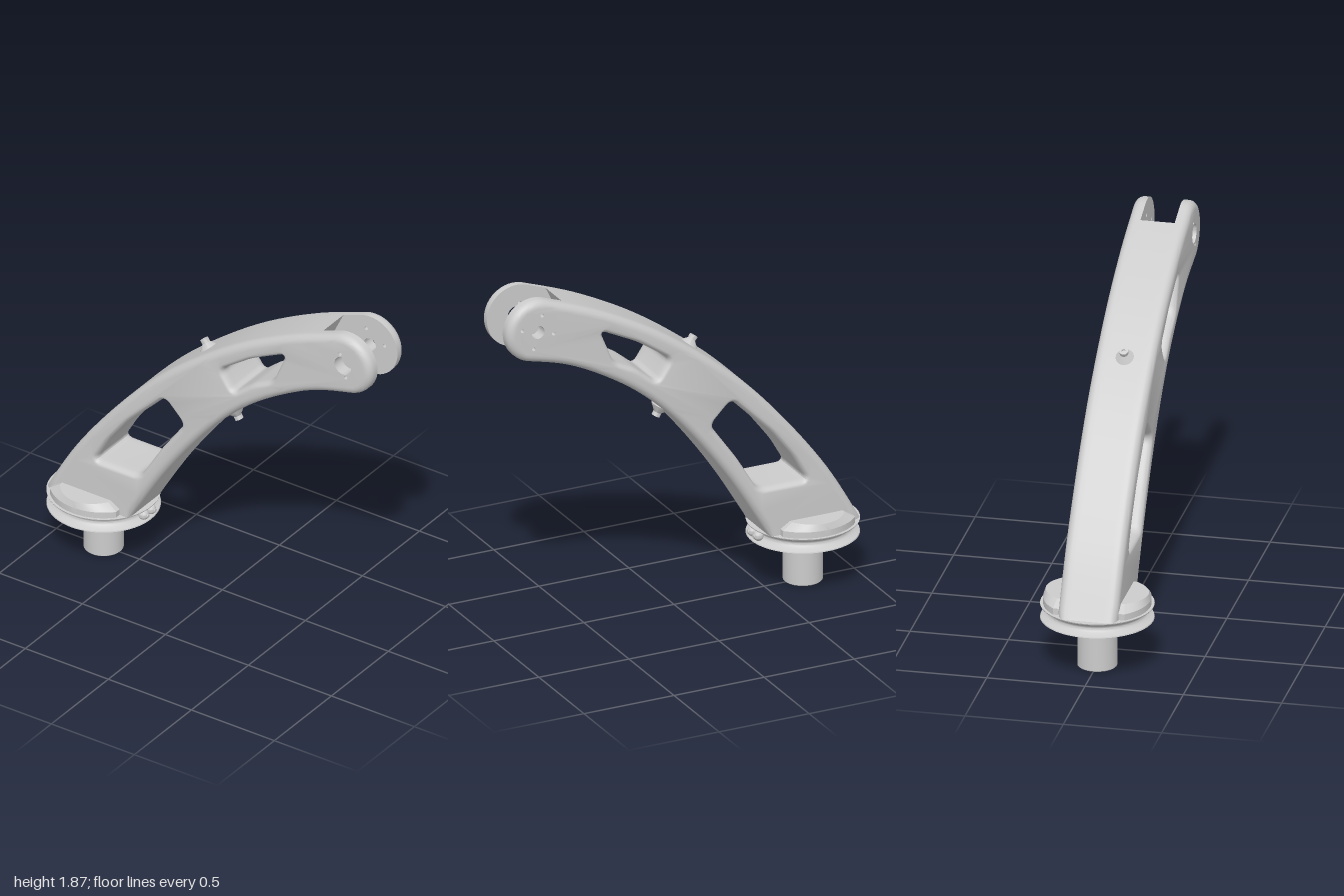
import * as THREE from 'three';
import { mergeGeometries, toCreasedNormals } from 'three/addons/utils/BufferGeometryUtils.js';

const material = new THREE.MeshStandardMaterial({ color: 0xcccccc });
const V = (x, y) => new THREE.Vector2(x, y);
const BASE = 0.335;   // top of the pulley, where the arm starts
const HALF = 0.152;   // half thickness of the arm
const SLOT = 0.087;   // half width of the fork slot
const PIN = V(0.83, 1.7);
const AXIS_X = -0.715;

function mesh(name, geometry, crease = 0.5) {
  const m = new THREE.Mesh(toCreasedNormals(geometry, crease), material);
  m.name = name;
  return m;
}

const spline = (pts, n) => new THREE.SplineCurve(pts.map(p => V(...p))).getPoints(n);

function circle(cx, cy, r, n, from = 0, to = -Math.PI * 2) {
  return Array.from({ length: n }, (_, i) => {
    const a = from + (to - from) * i / n;
    return V(cx + r * Math.cos(a), cy + r * Math.sin(a));
  });
}

// polygon with every corner rounded
function rounded(corners, r) {
  const c = corners.map(p => V(...p)), out = [];
  c.forEach((p, i) => {
    const a = c[(i + c.length - 1) % c.length], b = c[(i + 1) % c.length];
    const p0 = p.clone().add(a.clone().sub(p).setLength(r));
    const p1 = p.clone().add(b.clone().sub(p).setLength(r));
    out.push(...new THREE.QuadraticBezierCurve(p0, p, p1).getPoints(6));
  });
  return out;
}

// move a contour into the material, which lies left of its direction
function inset(pts, d) {
  if (!d) return pts;
  return pts.map((p, i) => {
    const a = pts[(i + pts.length - 1) % pts.length], b = pts[(i + 1) % pts.length];
    const t0 = p.clone().sub(a).normalize(), t1 = b.clone().sub(p).normalize();
    const n = V(-t0.y - t1.y, t0.x + t1.x).normalize();
    const k = d / Math.max(0.5, n.dot(V(-t0.y, t0.x)));
    return V(p.x + n.x * k, p.y < BASE + 1e-4 ? p.y : p.y + n.y * k);
  });
}

// contours: [points, bevel], outline first; rings: [z, share of the bevel], z rising
function solid(contours, rings) {
  const pos = [], parts = [];
  for (const [pts, bevel] of contours) {
    const loops = rings.map(([z, f]) => inset(pts, f * bevel).map(p => [p.x, p.y, z]));
    for (let k = 0; k + 1 < loops.length; k++) {
      for (let i = 0; i < pts.length; i++) {
        const j = (i + 1) % pts.length, A = loops[k], B = loops[k + 1];
        pos.push(...A[i], ...A[j], ...B[j], ...A[i], ...B[j], ...B[i]);
      }
    }
  }
  const walls = new THREE.BufferGeometry();
  walls.setAttribute('position', new THREE.Float32BufferAttribute(pos, 3));
  parts.push(walls);
  for (const [ring, flip] of [[rings[0], true], [rings[rings.length - 1], false]]) {
    const [outer, ...holes] = contours.map(([pts, bevel]) => inset(pts, ring[1] * bevel));
    const shape = new THREE.Shape(outer);
    shape.holes = holes.map(h => new THREE.Path(h));
    const cap = new THREE.ShapeGeometry(shape);
    if (flip) cap.setIndex(Array.from(cap.index.array).reverse());
    const flat = cap.translate(0, 0, ring[0]).toNonIndexed();
    flat.deleteAttribute('normal');
    flat.deleteAttribute('uv');
    parts.push(flat);
  }
  return mergeGeometries(parts);
}

function buildArm() {
  const arm = new THREE.Group();
  arm.name = 'arm';
  const lower = spline([[-0.46, BASE], [-0.28, 0.63], [-0.1, 0.88], [0.08, 1.09], [0.27, 1.26],
    [0.48, 1.395], [0.67, 1.485], [0.873, 1.541]], 42);
  const upper = spline([[0.787, 1.859], [0.5, 1.75], [0.2, 1.595], [-0.07, 1.41], [-0.32, 1.2],
    [-0.56, 0.94], [-0.79, 0.64], [-0.97, BASE]], 42);
  const rad = Math.PI / 180;
  const tip = circle(PIN.x, PIN.y, 0.165, 24, -75 * rad, 105 * rad).slice(1);
  const outline = [...lower, ...tip, ...upper];
  const windows = [
    rounded([[-0.67, 0.6], [-0.59, 0.74], [-0.475, 0.89], [-0.25, 1.115], [-0.135, 1.0],
      [-0.285, 0.79], [-0.4, 0.6]], 0.04),
    rounded([[0.09, 1.405], [0.27, 1.53], [0.475, 1.63], [0.4, 1.45], [0.28, 1.39], [0.165, 1.295]], 0.035),
  ].map(w => [w, 0.025]);

  // core between the fork plates, ending at the slanted slot floor
  const core = [...lower.filter(p => p.x < 0.455), V(0.46, 1.383), V(0.67, 1.817),
    ...upper.filter(p => p.x < 0.665)];
  arm.add(mesh('armCore', solid([[core, 0], ...windows], [[-SLOT, 0], [SLOT, 0]])));

  // side plates with rounded outer edges
  const b = 0.04;
  const rings = [[SLOT, 0]];
  for (let i = 0; i <= 6; i++) {
    const a = i / 6 * Math.PI / 2;
    rings.push([HALF - b + b * Math.sin(a), 1 - Math.cos(a)]);
  }
  const plate = (name, bore, angles, reach, ringList) => {
    const holes = [[circle(PIN.x, PIN.y, bore, 32), 0]];
    for (const a of angles) {
      holes.push([circle(PIN.x + reach * Math.cos(a * rad), PIN.y + reach * Math.sin(a * rad), 0.01, 12), 0]);
    }
    arm.add(mesh(name, solid([[outline, b], ...windows, ...holes], ringList)));
  };
  plate('frontPlate', 0.05, [105, 285], 0.066, rings);
  plate('backPlate', 0.035, [15, 105, 195, 285], 0.09, rings.map(([z, f]) => [-z, f]).reverse());
  return arm;
}

function buildBase() {
  const base = new THREE.Group();
  base.name = 'base';
  base.position.x = AXIS_X;

  // grooved pulley
  const groove = Array.from({ length: 11 }, (_, i) => {
    const t = i / 10 * 2 - 1;
    return V(0.245 + 0.038 * t * t, 0.2975 + 0.032 * t);
  });
  base.add(mesh('pulley', new THREE.LatheGeometry(
    [V(0, 0.26), V(0.285, 0.26), ...groove, V(0.285, BASE), V(0, BASE)], 64)));

  // shaft with collar
  base.add(mesh('shaft', new THREE.LatheGeometry([V(0, 0), V(0.095, 0), V(0.1, 0.005), V(0.1, 0.245),
    V(0.117, 0.245), V(0.117, 0.262), V(0, 0.262)], 48)));

  // screws under the pulley
  for (let i = 0; i < 4; i++) {
    const a = Math.PI / 4 + i * Math.PI / 2;
    const screw = mesh('screw', new THREE.CylinderGeometry(0.018, 0.018, 0.012, 16));
    screw.position.set(0.17 * Math.cos(a), 0.259, 0.17 * Math.sin(a));
    base.add(screw);
  }

  // cable ends in the groove
  for (const z of [-0.031, 0.031]) {
    const end = new THREE.Group();
    end.name = 'cableEnd';
    const bead = mesh('bead', new THREE.SphereGeometry(0.027, 20, 14));
    const core = mesh('cableCore', new THREE.CylinderGeometry(0.01, 0.01, 0.06, 12));
    core.rotation.z = Math.PI / 2;
    end.add(bead, core);
    end.position.set(0.262, 0.297, z);
    base.add(end);
  }

  // chamfered clamp segments on both sides of the arm
  const side = Math.sqrt(0.27 ** 2 - 0.2 ** 2);
  const segment = new THREE.Shape([V(-0.2, 0.13), V(0.2, 0.13),
    ...circle(0, 0, 0.27, 20, Math.atan2(side, 0.2), Math.PI - Math.atan2(side, 0.2)), V(-0.2, side)]);
  for (const turn of [0, Math.PI]) {
    const g = new THREE.ExtrudeGeometry(segment, { depth: 0.066, steps: 2, bevelEnabled: false });
    const p = g.attributes.position;
    for (let i = 0; i < p.count; i++) {
      if (p.getZ(i) > 0.05) {
        p.setX(i, p.getX(i) * 0.73);
        if (p.getY(i) > 0.14) p.setY(i, p.getY(i) - 0.01);
      }
    }
    g.rotateX(-Math.PI / 2).translate(0, BASE, 0);
    const clamp = mesh('clampSegment', g, 0.3);
    clamp.rotation.y = turn;
    base.add(clamp);
  }
  return base;
}

// tapered fitting with a small cap, pointing along (dx, dy)
function fitting(name, x, y, dx, dy) {
  const m = mesh(name, new THREE.LatheGeometry([V(0, -0.04), V(0.05, -0.04), V(0.05, 0.005), V(0.018, 0.038),
    V(0.022, 0.038), V(0.022, 0.058), V(0.01, 0.058), V(0.01, 0.05), V(0, 0.05)], 28));
  m.position.set(x, y, 0);
  m.quaternion.setFromUnitVectors(new THREE.Vector3(0, 1, 0), new THREE.Vector3(dx, dy, 0).normalize());
  return m;
}

export function createModel() {
  const model = new THREE.Group();
  model.name = 'curvedArm';
  model.add(buildArm(), buildBase());
  model.add(fitting('upperFitting', -0.078, 1.392, -0.55, 0.83));
  model.add(fitting('lowerFitting', 0.074, 1.095, 0.5, -0.87));
  return model;
}
